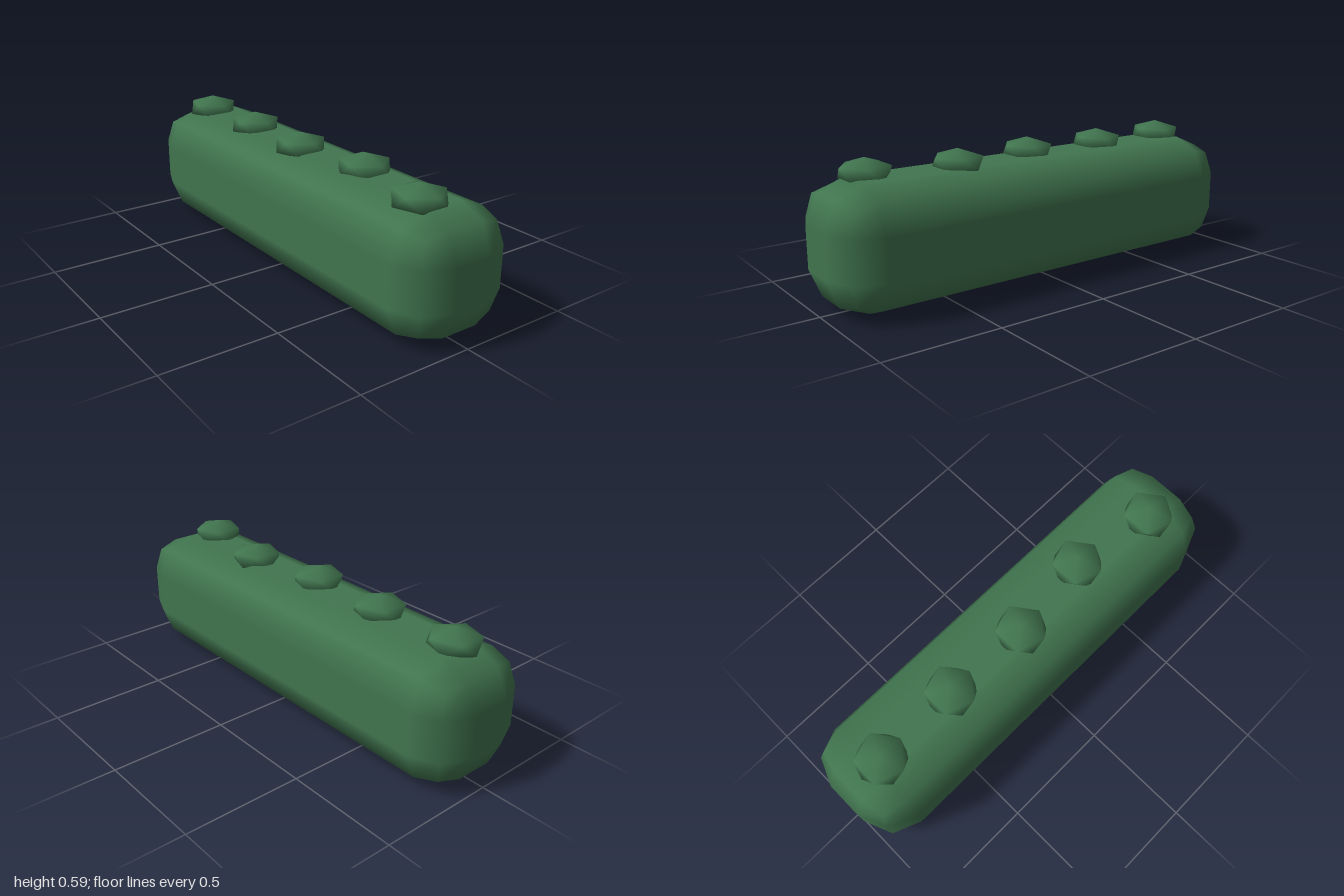
import * as THREE from 'three';
import { RoundedBoxGeometry } from 'three/addons/geometries/RoundedBoxGeometry.js';
import { mergeVertices } from 'three/addons/utils/BufferGeometryUtils.js';

// Flattened icosahedron standing on a vertex, with smooth normals
function tuftGeometry(radius, height) {
  const geo = new THREE.IcosahedronGeometry(1, 0);
  geo.deleteAttribute('normal');
  geo.deleteAttribute('uv');
  geo.rotateZ(-Math.atan(2 / (1 + Math.sqrt(5))));
  geo.scale(radius, height, radius);
  const smooth = mergeVertices(geo, 1e-4);
  smooth.computeVertexNormals();
  return smooth;
}

export function createModel() {
  const group = new THREE.Group();
  group.name = 'hedge';
  const leafGreen = new THREE.MeshStandardMaterial({ color: 0x41754f });
  leafGreen.name = 'leafGreen';

  // Clipped hedge body with coarse rounded edges
  const body = new THREE.Mesh(new RoundedBoxGeometry(2, 0.517, 0.506, 1, 0.17), leafGreen);
  body.name = 'hedgeBody';
  body.position.y = 0.2595;
  group.add(body);

  // Row of leafy tufts along the top, slightly staggered
  const tuft = tuftGeometry(0.12, 0.059);
  const spots = [[-0.785, 0.027], [-0.4, 0.02], [-0.012, 0.035], [0.372, -0.008], [0.76, 0.05]];
  spots.forEach(([x, z], i) => {
    const mesh = new THREE.Mesh(tuft, leafGreen);
    mesh.name = `topTuft${i + 1}`;
    mesh.position.set(x, 0.531, z);
    group.add(mesh);
  });

  return group;
}
